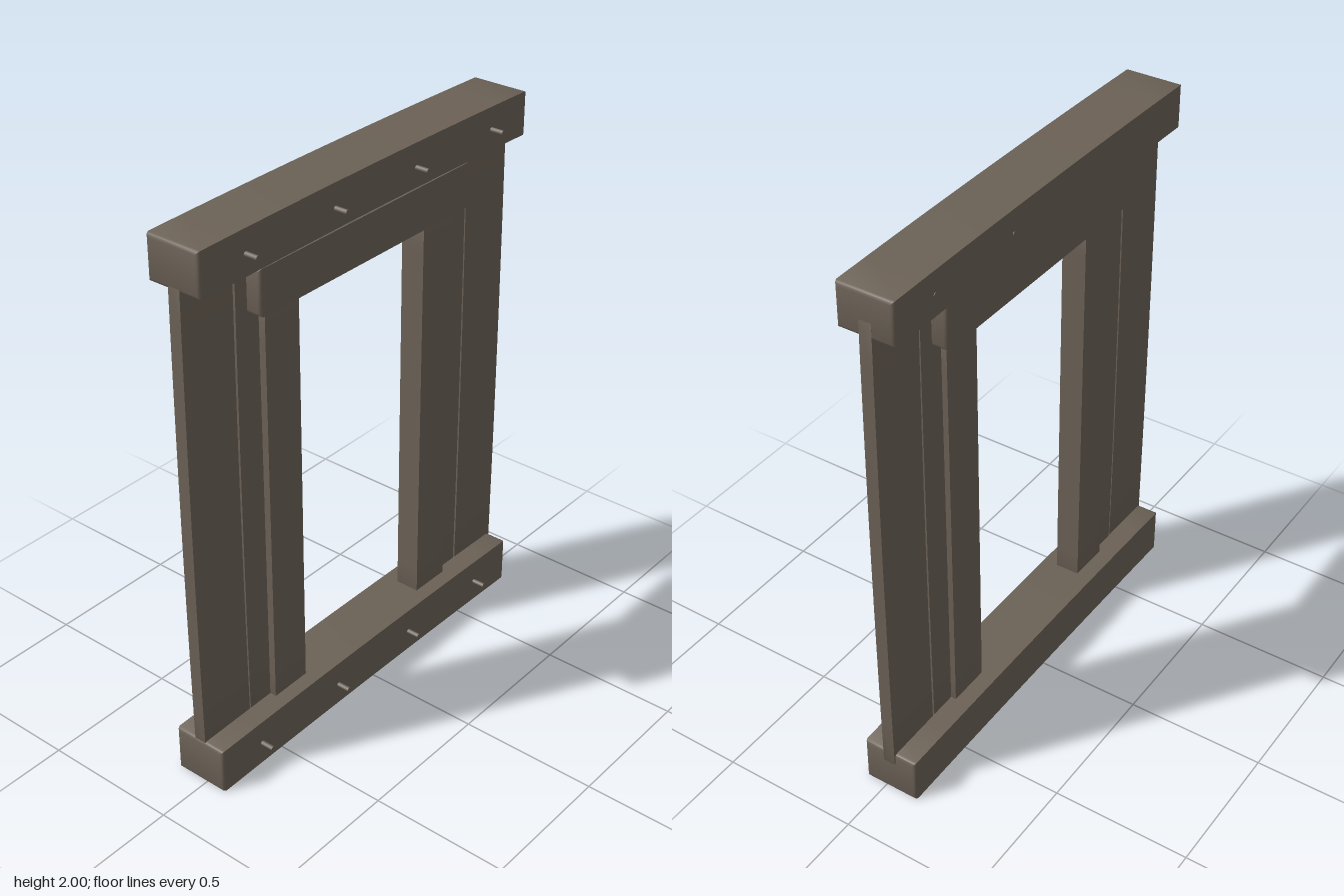
import * as THREE from 'three';
import { toCreasedNormals } from 'three/addons/utils/BufferGeometryUtils.js';

const wood = new THREE.MeshStandardMaterial({ color: 0x6b6156 });
wood.name = 'weathered wood';

// Bevelled timber along the x or y axis between two corners. The rule
// shift(t) moves each section sideways, t running from -1 to 1.
function timber(name, axis, [x0, x1], [y0, y1], [z0, z1], bevel, shift = () => 0) {
  const alongX = axis === 'x';
  const len = alongX ? x1 - x0 : y1 - y0;
  const w = (alongX ? y1 - y0 : x1 - x0) / 2 - bevel;
  const d = (z1 - z0) / 2 - bevel;
  // section: local x is the width, local y is the depth
  const shape = new THREE.Shape([
    new THREE.Vector2(-w, -d), new THREE.Vector2(w, -d),
    new THREE.Vector2(w, d), new THREE.Vector2(-w, d),
  ]);
  let geo = new THREE.ExtrudeGeometry(shape, {
    depth: len - 2 * bevel, steps: 10, bevelEnabled: true,
    bevelThickness: bevel, bevelSize: bevel, bevelSegments: 2,
  });
  geo.translate(0, 0, bevel - len / 2);
  const p = geo.attributes.position;
  for (let i = 0; i < p.count; i++) {
    p.setX(i, p.getX(i) + shift(p.getZ(i) / (len / 2)));
  }
  // stand upright, or lie along x with the width pointing up
  geo.rotateX(-Math.PI / 2);
  if (alongX) {
    geo.rotateZ(Math.PI / 2);
    geo.rotateX(Math.PI);
    geo.scale(1, -1, -1);
  }
  geo = toCreasedNormals(geo, 0.9);
  geo.translate((x0 + x1) / 2, (y0 + y1) / 2, (z0 + z1) / 2);
  const mesh = new THREE.Mesh(geo, wood);
  mesh.name = name;
  return mesh;
}

export function createModel() {
  const model = new THREE.Group();
  model.name = 'doorFrame';

  // heavy sill and head beams, gently arched
  const arch = (t) => 0.004 - 0.008 * t * t;
  const beamX = [-0.795, 0.79];
  const beamZ = [-0.125, 0.08];
  model.add(timber('headBeam', 'x', beamX, [1.842, 1.996], beamZ, 0.012, arch));
  model.add(timber('sillBeam', 'x', beamX, [0.008, 0.178], beamZ, 0.012, arch));

  // wall planks and door posts on both sides
  const plankZ = [-0.045, 0];
  for (const s of [-1, 1]) {
    const side = s < 0 ? 'right' : 'left';
    const span = (a, b) => (s < 0 ? [-b, -a] : [a, b]);
    model.add(timber(side + 'OuterPlank', 'y', span(0.573, 0.792), [0.13, 1.9], plankZ, 0.005,
      (t) => s * 0.006 * (1 - t * t) - 0.002 * t));
    model.add(timber(side + 'InnerPlank', 'y', span(0.4, 0.566), [0.13, 1.9], plankZ, 0.005,
      (t) => s * 0.005 * (1 - t * t)));
    model.add(timber(side + 'DoorPost', 'y', span(0.312, 0.468), [0.1, 1.72], [-0.065, 0.025], 0.01));
  }

  // short planks above the opening
  const joints = [-0.4, -0.235, 0.035, 0.195, 0.4];
  for (let i = 0; i < joints.length - 1; i++) {
    model.add(timber('shortPlank', 'y', [joints[i] + 0.002, joints[i + 1] - 0.002], [1.7, 1.9], plankZ, 0.005));
  }

  // lintel
  model.add(timber('lintel', 'x', [-0.517, 0.512], [1.662, 1.822], [-0.1, 0.055], 0.012));

  // pegs driven through the beams
  for (const y of [0.09, 1.915]) {
    for (const x of [-0.6, -0.2, 0.195, 0.595]) {
      const back = y > 1 && x > 0 ? -0.127 : -0.1;
      const geo = new THREE.CylinderGeometry(0.009, 0.009, 0.128 - back, 8);
      geo.rotateX(Math.PI / 2);
      const peg = new THREE.Mesh(geo, wood);
      peg.name = 'peg';
      peg.position.set(x, y, (0.128 + back) / 2);
      model.add(peg);
    }
  }
  return model;
}
